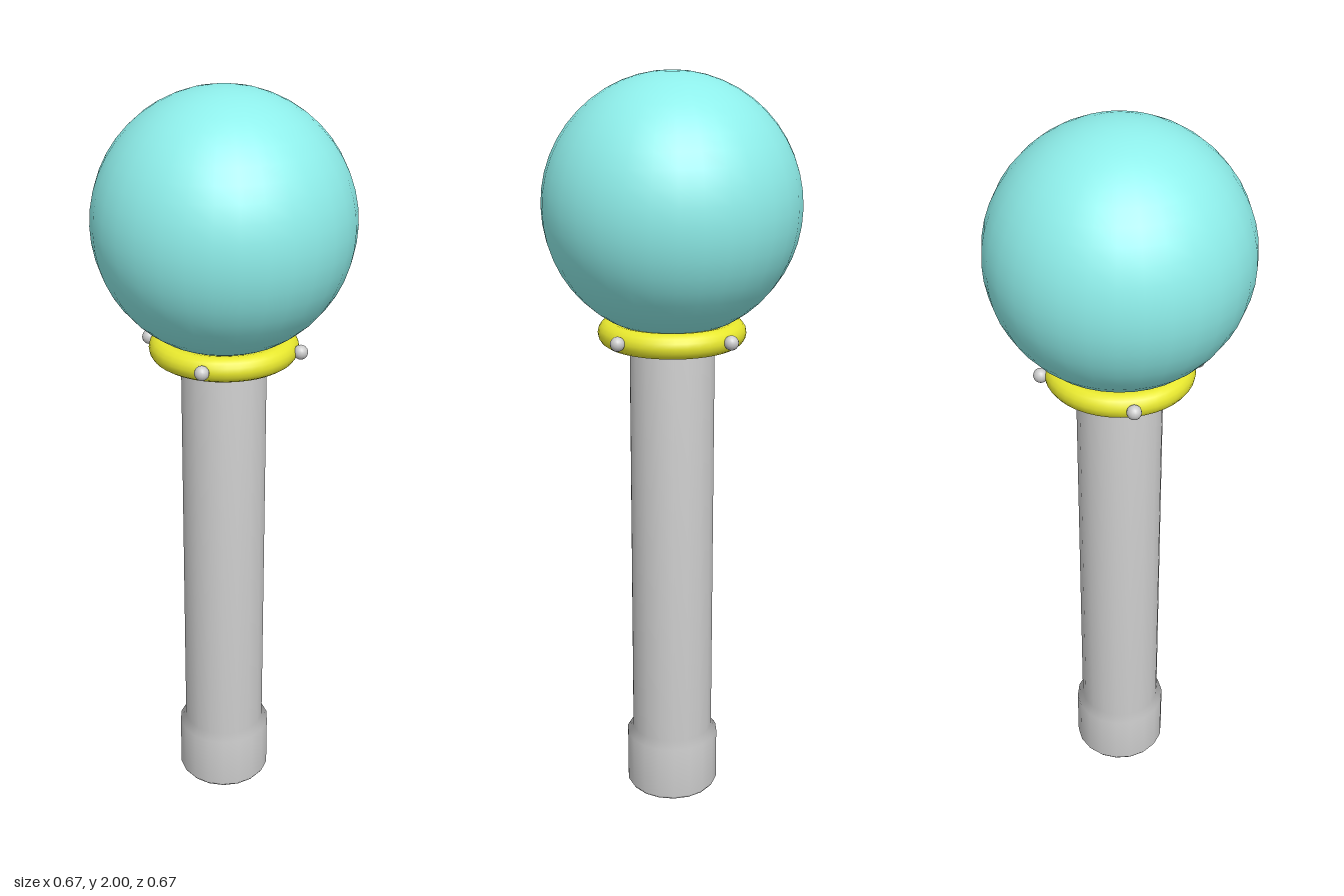
import * as THREE from 'three';

export function createModel() {
  const model = new THREE.Group();
  const grey = new THREE.MeshStandardMaterial({ color: 0xcccccc });
  const aqua = new THREE.MeshStandardMaterial({ color: 0x8eeeea });
  const yellow = new THREE.MeshStandardMaterial({ color: 0xe8e82e });

  const add = (name, geometry, material, x = 0, y = 0, z = 0) => {
    const mesh = new THREE.Mesh(geometry, material);
    mesh.name = name;
    mesh.position.set(x, y, z);
    model.add(mesh);
    return mesh;
  };

  // Handle with a thicker pommel at its foot; the top sinks into the orb
  const profile = [
    [0, 0], [0.122, 0], [0.129, 0.01], [0.129, 0.16],
    [0.113, 0.18], [0.113, 1.36], [0, 1.36],
  ].map(([r, y]) => new THREE.Vector2(r, y));
  add('handle', new THREE.LatheGeometry(profile, 18, Math.PI / 2), grey);

  // Orb resting on the handle
  const radius = 0.334;
  add('orb', new THREE.SphereGeometry(radius, 32, 24), aqua, 0, 2 - radius, 0);

  // Ring around the neck
  const ringY = 1.338;
  const ring = new THREE.TorusGeometry(0.162, 0.033, 16, 40).rotateX(Math.PI / 2);
  add('ring', ring, yellow, 0, ringY, 0);

  // Four studs on the ring's diagonals
  const stud = new THREE.SphereGeometry(0.019, 16, 12);
  for (const x of [-0.144, 0.144]) {
    for (const z of [-0.144, 0.144]) add('stud', stud, grey, x, ringY + 0.003, z);
  }

  return model;
}
